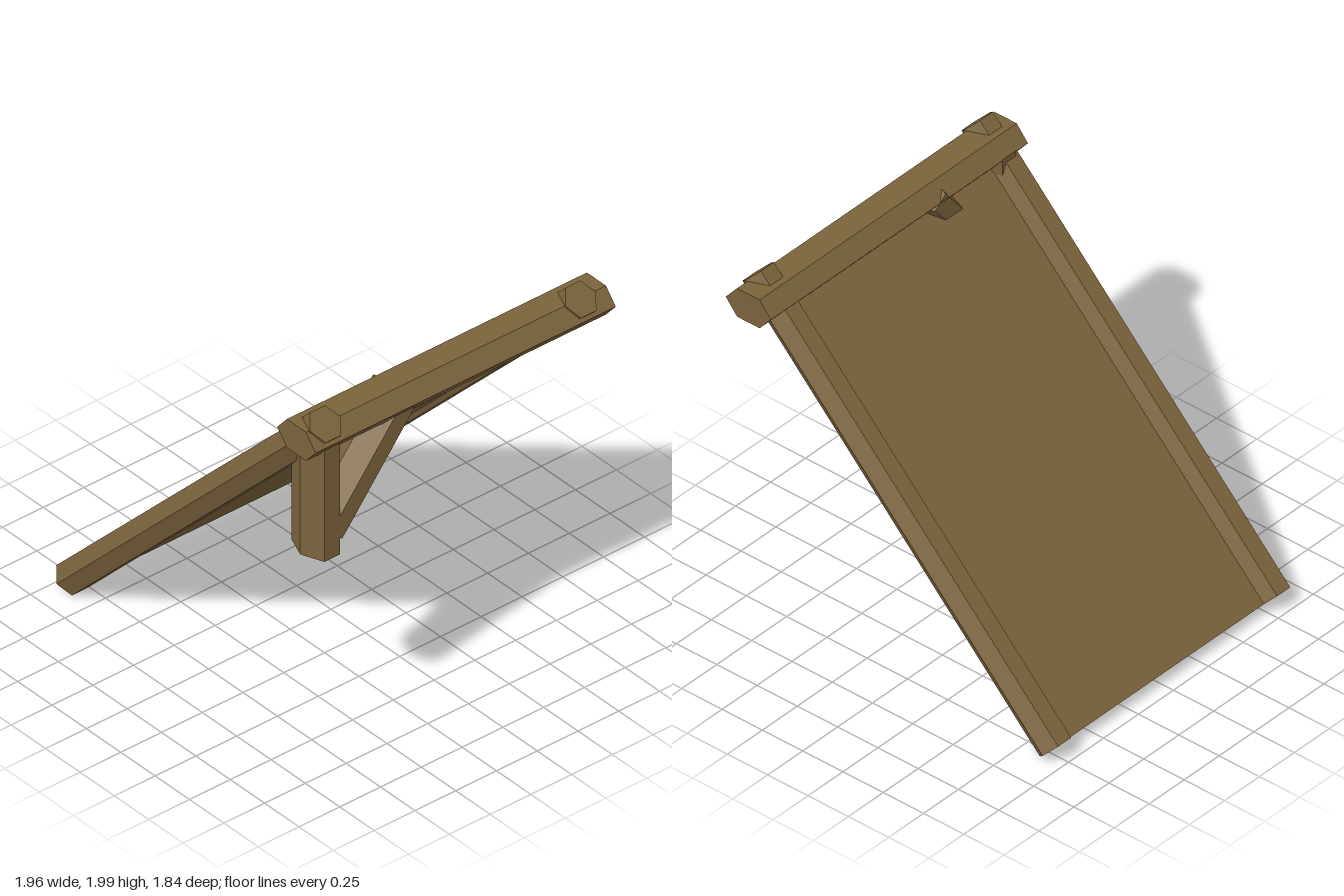
import * as THREE from 'three';

const wood = new THREE.MeshStandardMaterial({ color: 0x7a633b });
wood.name = 'brown wood';

const vec = (x, y, z) => new THREE.Vector3(x, y, z);

// Turn a geometry so its y axis runs from a to b and its z axis follows zAxis.
function place(name, geometry, a, b, zAxis) {
  const dir = b.clone().sub(a).normalize();
  const xAxis = dir.clone().cross(zAxis).normalize();
  const m = new THREE.Matrix4().makeBasis(xAxis, dir, xAxis.clone().cross(dir));
  m.setPosition(a.clone().add(b).multiplyScalar(0.5));
  const flat = geometry.toNonIndexed().applyMatrix4(m);
  flat.computeVertexNormals();
  const mesh = new THREE.Mesh(flat, wood);
  mesh.name = name;
  return mesh;
}

// Six-sided beam: corners point along cornerAxis, flats lie across it.
function hexBeam(name, a, b, cornerAxis, halfCorner, halfFlat) {
  const g = new THREE.CylinderGeometry(1, 1, a.distanceTo(b), 6);
  g.scale(halfFlat / Math.cos(Math.PI / 6), 1, halfCorner);
  return place(name, g, a, b, cornerAxis);
}

export function createModel() {
  const model = new THREE.Group();
  model.name = 'leanToRoof';
  const zAxis = vec(0, 0, 1);

  // Ridge beam along the high edge
  model.add(hexBeam('ridgeBeam', vec(0.84, 1.857, -0.92), vec(0.84, 1.857, 0.92), vec(1, 0, 0), 0.14, 0.0825));

  // Sloping rafters, their tips passing through the ridge
  const low = [-0.925, 0.0625], high = [0.92, 1.942];
  for (const [name, z] of [['frontRafter', 0.81], ['backRafter', -0.757]]) {
    model.add(hexBeam(name, vec(...low, z), vec(...high, z), zAxis, 0.093, 0.08));
  }

  // Roof panel between the rafters, ending inside the ridge
  const start = vec(...low, 0.0265), end = vec(0.84, 1.861, 0.0265);
  const panel = new THREE.BoxGeometry(0.067, start.distanceTo(end), 1.567);
  panel.translate(0.0215, 0, 0); // local +x points below the slope
  model.add(place('roofPanel', panel, start, end, zAxis));

  // Short post under the front end of the ridge
  model.add(hexBeam('post', vec(0.82, 1.17, 0.785), vec(0.82, 1.86, 0.785), zAxis, 0.095, 0.12));

  // Diagonal brace from post to ridge
  model.add(hexBeam('brace', vec(0.82, 1.283, 0.76), vec(0.82, 1.86, 0.295), vec(0, 0.627, 0.779), 0.095, 0.119));

  return model;
}
